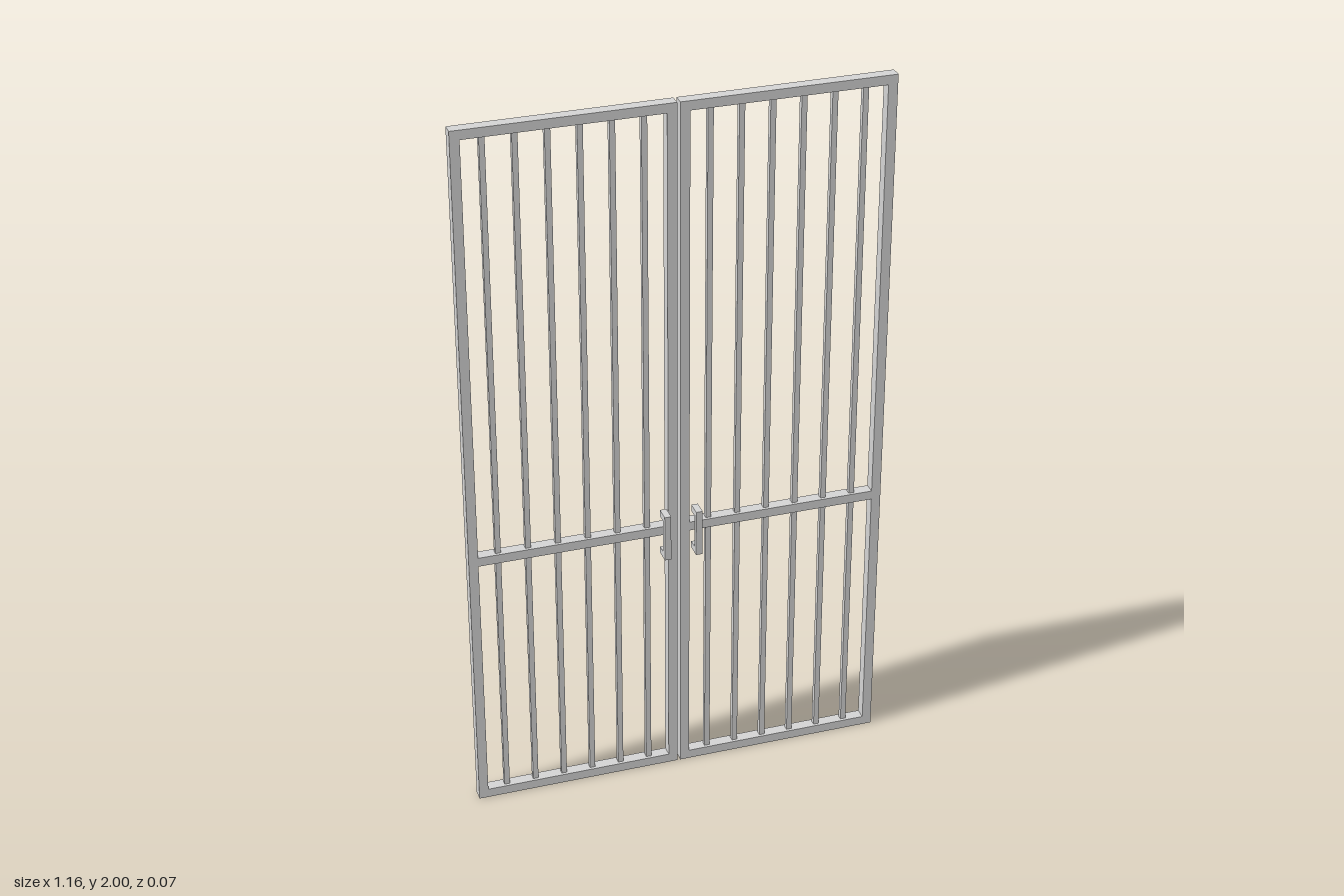
import * as THREE from 'three';

const INNER = 0.004, OUTER = 0.58, HEIGHT = 2; // one leaf
const FRAME = 0.026, DEPTH = 0.032, BACK = -0.037;
const MID_Y = 0.77, BAR = 0.015, BARS = 6;

const steel = new THREE.MeshStandardMaterial({ color: 0xd4d4d4 });
steel.name = 'light grey steel';

function polygon(Kind, points) {
  return new Kind(points.map(([x, y]) => new THREE.Vector2(x, y)));
}

function rectangle(Kind, x0, y0, x1, y1) {
  return polygon(Kind, [[x0, y0], [x1, y0], [x1, y1], [x0, y1]]);
}

function addMesh(group, name, geometry) {
  const mesh = new THREE.Mesh(geometry, steel);
  mesh.name = name;
  group.add(mesh);
  return mesh;
}

// side is +1 for the left leaf and -1 for the right leaf
function createLeaf(side) {
  const leaf = new THREE.Group();
  leaf.name = side > 0 ? 'leftLeaf' : 'rightLeaf';
  const mid = side * (INNER + OUTER) / 2;
  const half = (OUTER - INNER) / 2;

  // Outer frame with the cross rail, as one plate with two openings
  const shape = rectangle(THREE.Shape, -half, 0, half, HEIGHT);
  const edge = half - FRAME;
  shape.holes.push(
    rectangle(THREE.Path, -edge, FRAME, edge, MID_Y - FRAME / 2),
    rectangle(THREE.Path, -edge, MID_Y + FRAME / 2, edge, HEIGHT - FRAME)
  );
  const frame = addMesh(leaf, 'frame',
    new THREE.ExtrudeGeometry(shape, { depth: DEPTH, bevelEnabled: false }));
  frame.position.set(mid, 0, BACK);

  // Upright bars, evenly spaced and split by the cross rail
  const spans = [[FRAME, MID_Y - FRAME / 2], [MID_Y + FRAME / 2, HEIGHT - FRAME]];
  for (let i = 1; i <= BARS; i++) {
    const x = side * (INNER + (OUTER - INNER) * i / (BARS + 1));
    for (const [y0, y1] of spans) {
      const bar = addMesh(leaf, 'bar', new THREE.BoxGeometry(BAR, y1 - y0, BAR));
      bar.position.set(x, (y0 + y1) / 2, BACK + DEPTH / 2);
    }
  }

  // C-shaped pull handle: drawn as a side profile, then turned to face front
  const reach = 0.042, top = 0.067, grip = 0.016, arm = 0.019, width = 0.018;
  const profile = polygon(THREE.Shape, [
    [0, -top], [reach, -top], [reach, top], [0, top],
    [0, top - arm], [reach - grip, top - arm], [reach - grip, arm - top], [0, arm - top]
  ]);
  const geometry = new THREE.ExtrudeGeometry(profile, { depth: width, bevelEnabled: false });
  geometry.translate(0, 0, -width / 2).rotateY(-Math.PI / 2);
  const handle = addMesh(leaf, 'pullHandle', geometry);
  handle.position.set(side * 0.044, MID_Y, BACK + DEPTH);
  return leaf;
}

export function createModel() {
  const gate = new THREE.Group();
  gate.name = 'doubleGate';
  gate.add(createLeaf(1), createLeaf(-1));
  return gate;
}
